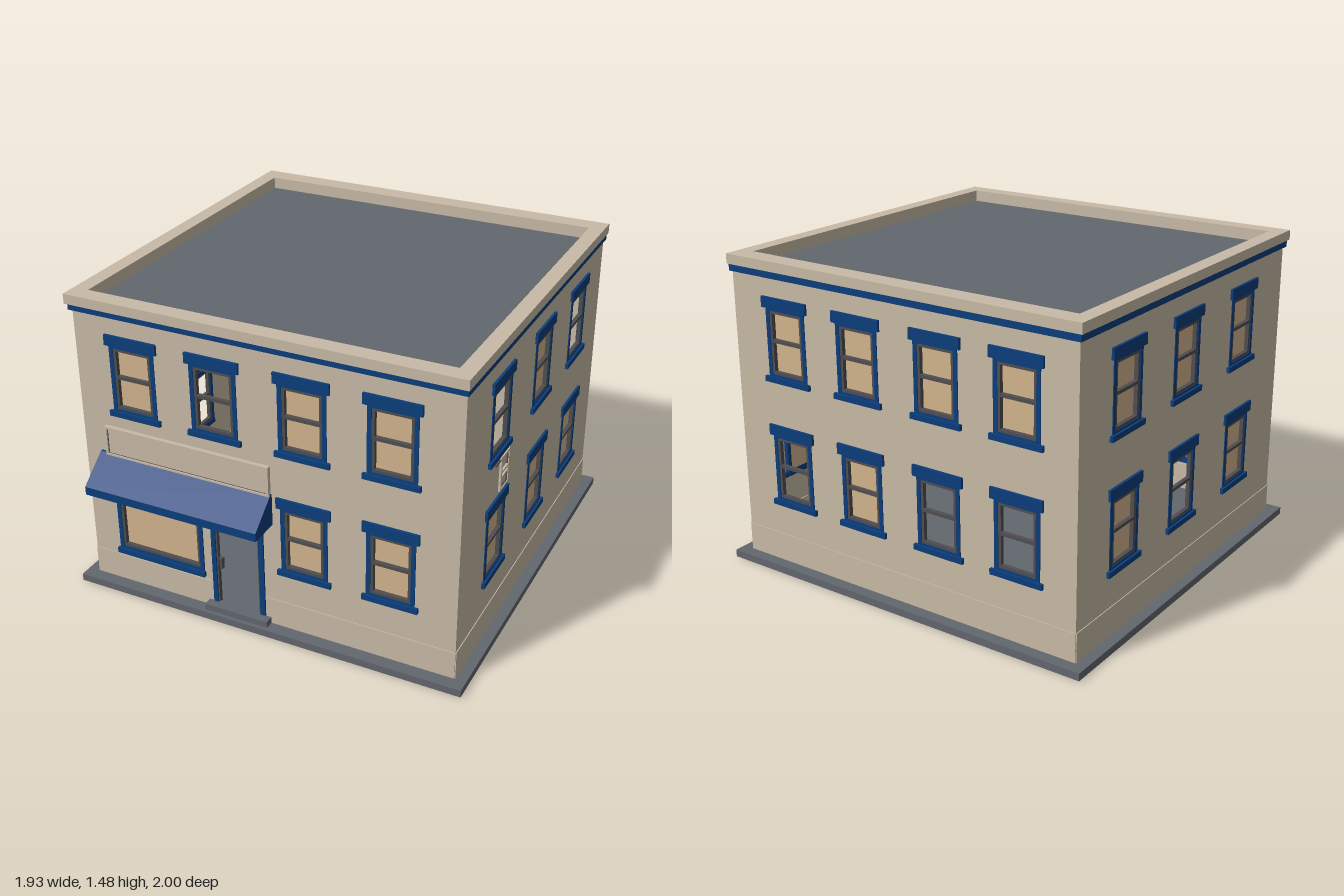
import * as THREE from 'three';

const mat = (name, color, side = THREE.FrontSide) => {
  const m = new THREE.MeshStandardMaterial({ color, side });
  m.name = name;
  return m;
};

export function createModel() {
  const stone = mat('warm stone', 0xc8baa6);
  const wallMat = mat('wall stone', 0xc8baa6, THREE.DoubleSide);
  const blue = mat('navy trim', 0x0b3d7c);
  const grey = mat('slate grey', 0x62666e);
  const sashMat = mat('sash grey', 0x504e50);
  const blind = mat('tan blind', 0xd2b48c, THREE.DoubleSide);

  const model = new THREE.Group();
  model.name = 'cornerShop';

  // Box given by its extents on each axis
  function box(parent, name, material, x0, x1, y0, y1, z0, z1) {
    const m = new THREE.Mesh(new THREE.BoxGeometry(x1 - x0, y1 - y0, z1 - z0), material);
    m.position.set((x0 + x1) / 2, (y0 + y1) / 2, (z0 + z1) / 2);
    m.name = name;
    parent.add(m);
    return m;
  }

  // Four bars around a rectangle, t thick, inside the given outer edge
  function border(parent, name, material, x0, x1, y0, y1, z0, z1, t) {
    const g = new THREE.Group();
    g.name = name;
    box(g, name + 'Left', material, x0, x0 + t, y0, y1, z0, z1);
    box(g, name + 'Right', material, x1 - t, x1, y0, y1, z0, z1);
    box(g, name + 'Top', material, x0 + t, x1 - t, y1 - t, y1, z0, z1);
    box(g, name + 'Bottom', material, x0 + t, x1 - t, y0, y0 + t, z0, z1);
    parent.add(g);
  }

  function blindPane(parent, x0, x1, y0, y1) {
    const m = new THREE.Mesh(new THREE.PlaneGeometry(x1 - x0, y1 - y0), blind);
    m.position.set((x0 + x1) / 2, (y0 + y1) / 2, -0.02);
    m.name = 'blind';
    parent.add(m);
  }

  // Sash window with lintel and sill; open ones have no blind
  function sashWindow(parent, x, dy, open) {
    const g = new THREE.Group();
    g.name = 'window';
    g.position.set(x, dy, 0);
    border(g, 'frame', blue, -0.113, 0.113, 0.935, 1.27, -0.022, 0.004, 0.02);
    border(g, 'sash', sashMat, -0.093, 0.093, 0.955, 1.25, -0.018, 0.001, 0.013);
    box(g, 'meetingRail', sashMat, -0.08, 0.08, 1.103, 1.118, -0.018, 0.001);
    box(g, 'lintel', blue, -0.13, 0.13, 1.262, 1.312, -0.015, 0.012);
    box(g, 'sill', blue, -0.13, 0.13, 0.919, 0.945, -0.015, 0.015);
    if (!open) blindPane(g, -0.093, 0.093, 0.95, 1.255);
    parent.add(g);
  }

  const LOWER = -0.6;
  // One facade in local axes: x across, y up, z outward.
  // Each window is [x, isLower, isOpen]; extra holes are [x0, x1, y0, y1].
  function facade(name, position, turn, x0, x1, windows, holes = [], plinths = [[x0, x1]]) {
    const g = new THREE.Group();
    g.name = name;
    g.position.set(...position);
    g.rotation.y = turn;
    const rect = (Type, a, b, c, d) => new Type([
      new THREE.Vector2(a, c), new THREE.Vector2(b, c), new THREE.Vector2(b, d), new THREE.Vector2(a, d)]);
    const shape = rect(THREE.Shape, x0, x1, 0.03, 1.41);
    for (const [x, low] of windows) {
      const dy = low ? LOWER : 0;
      shape.holes.push(rect(THREE.Path, x - 0.1, x + 0.1, 0.945 + dy, 1.262 + dy));
    }
    for (const h of holes) shape.holes.push(rect(THREE.Path, ...h));
    const wall = new THREE.Mesh(new THREE.ShapeGeometry(shape), wallMat);
    wall.name = 'wall';
    g.add(wall);
    for (const [x, low, open] of windows) sashWindow(g, x, low ? LOWER : 0, open);
    for (const [a, b] of plinths) box(g, 'plinth', stone, a, b, 0.03, 0.17, -0.005, 0.004);
    model.add(g);
    return g;
  }

  // Pavement slab and roof
  box(model, 'baseSlab', grey, -0.965, 0.965, 0, 0.035, -1, 0.915);
  box(model, 'roof', grey, -0.9, 0.9, 1.38, 1.42, -0.93, 0.84);

  // Blue cornice band and stone parapet as rectangular rings
  function ring(name, material, o, i, y0, y1) {
    const g = new THREE.Group();
    g.name = name;
    box(g, name + 'Front', material, -o[0], o[0], y0, y1, i[2], o[2]);
    box(g, name + 'Back', material, -o[0], o[0], y0, y1, o[1], i[1]);
    for (const s of [-1, 1]) {
      const a = s * o[0], b = s * i[0];
      box(g, name + 'Side', material, Math.min(a, b), Math.max(a, b), y0, y1, i[1], i[2]);
    }
    model.add(g);
  }
  ring('cornice', blue, [0.921, -0.951, 0.868], [0.89, -0.92, 0.835], 1.398, 1.43);
  ring('parapet', stone, [0.928, -0.956, 0.882], [0.855, -0.86, 0.8], 1.43, 1.476);
  ring('parapetFoot', stone, [0.9, -0.93, 0.84], [0.855, -0.86, 0.8], 1.41, 1.43);

  // Facades
  const cols = [-0.623, -0.222, 0.198, 0.605];
  const front = facade('frontFacade', [0, 0, 0.85], 0, -0.91, 0.91,
    [...cols.map((x, i) => [x, false, i === 1]), [cols[2], true], [cols[3], true]],
    [[-0.75, -0.335, 0.22, 0.55], [-0.25, -0.02, 0.05, 0.55]],
    [[-0.91, -0.27], [0, 0.91]]);
  facade('backFacade', [0, 0, -0.94], Math.PI, -0.91, 0.91,
    [...cols.map(x => [-x, false]), ...cols.map((x, i) => [-x, true, i !== 2])]);
  const rows = [0.442, -0.085, -0.582];
  const right = facade('rightSideFacade', [0.91, 0, 0], Math.PI / 2, -0.85, 0.94,
    [...rows.map((z, i) => [-z, false, i !== 1]), ...rows.map(z => [-z, true])]);
  facade('leftSideFacade', [-0.91, 0, 0], -Math.PI / 2, -0.94, 0.85,
    [...rows.map(z => [z, false]), ...rows.map((z, i) => [z, true, i === 1])]);

  // Shop window
  border(front, 'shopFrame', blue, -0.77, -0.315, 0.205, 0.56, -0.022, 0.006, 0.02);
  border(front, 'shopSash', sashMat, -0.75, -0.335, 0.225, 0.54, -0.018, 0.002, 0.012);
  box(front, 'shopSill', blue, -0.78, -0.31, 0.185, 0.212, -0.015, 0.016);
  blindPane(front, -0.75, -0.335, 0.22, 0.55);

  // Doorway, handle and step
  for (const [a, b] of [[-0.27, -0.248], [-0.028, -0.003]]) {
    box(front, 'doorPost', blue, a, b, 0.05, 0.56, -0.022, 0.008);
  }
  box(front, 'doorHead', blue, -0.27, -0.003, 0.54, 0.56, -0.022, 0.008);
  box(front, 'doorLiningLeft', sashMat, -0.248, -0.241, 0.05, 0.54, -0.018, 0.002);
  box(front, 'doorLiningRight', sashMat, -0.035, -0.028, 0.05, 0.54, -0.018, 0.002);
  box(front, 'doorHandle', sashMat, -0.23, -0.217, 0.255, 0.31, -0.012, 0.008);
  box(front, 'handleBracket', sashMat, -0.245, -0.217, 0.295, 0.308, -0.012, 0);
  box(model, 'doorStep', grey, -0.295, 0.025, 0.035, 0.066, 0.84, 0.897);

  // Blank fascia panel with a thin raised rim
  box(front, 'fasciaPanel', stone, -0.785, 0.035, 0.71, 0.852, -0.005, 0.012);
  border(front, 'fasciaRim', stone, -0.79, 0.04, 0.71, 0.857, -0.005, 0.02, 0.012);
  border(front, 'fasciaLine', sashMat, -0.779, 0.029, 0.72, 0.846, 0.005, 0.014, 0.004);

  // Awning: side profile extruded along x
  const profile = new THREE.Shape([[0, 0.565], [0.15, 0.565], [0.15, 0.605], [0.012, 0.72], [0, 0.72]]
    .map(([z, y]) => new THREE.Vector2(-z, y)));
  const awning = new THREE.Mesh(
    new THREE.ExtrudeGeometry(profile, { depth: 0.87, bevelEnabled: false }), blue);
  awning.rotation.y = Math.PI / 2;
  awning.position.set(-0.825, 0, 0);
  awning.name = 'awning';
  front.add(awning);

  // Small wall bracket between the side windows
  const bracket = new THREE.Group();
  bracket.name = 'wallBracket';
  for (const x of [-0.425, -0.332]) box(bracket, 'bracketPost', stone, x, x + 0.012, 0.73, 0.9, 0, 0.01);
  for (const y of [0.73, 0.79, 0.815, 0.888]) box(bracket, 'bracketRung', stone, -0.42, -0.325, y, y + 0.01, 0, 0.01);
  box(bracket, 'bracketArm', sashMat, -0.485, -0.425, 0.884, 0.89, 0, 0.008);
  border(bracket, 'bracketEdge', sashMat, -0.413, -0.332, 0.74, 0.888, 0, 0.006, 0.004);
  right.add(bracket);

  return model;
}
